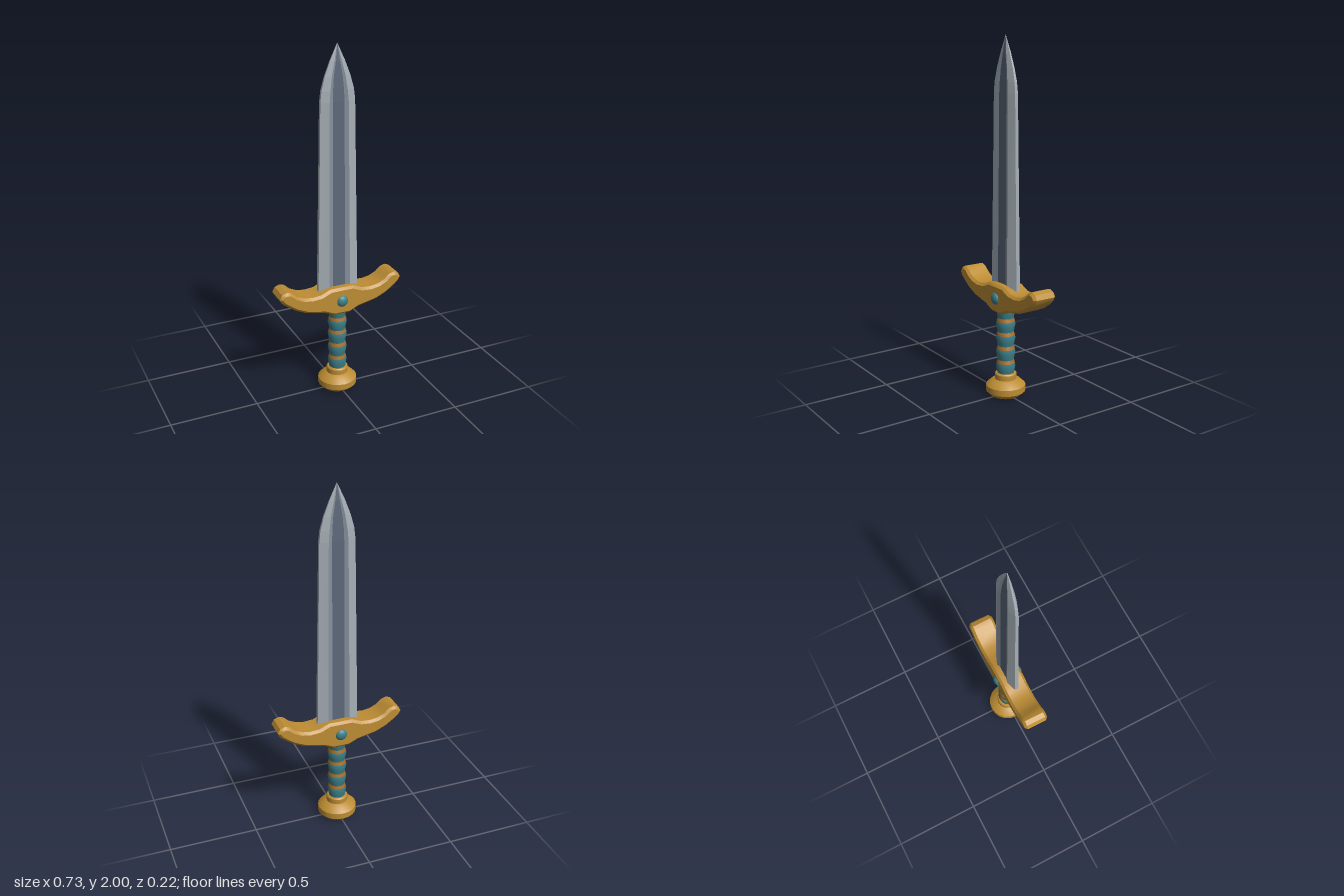
import * as THREE from 'three';
import { toCreasedNormals } from 'three/addons/utils/BufferGeometryUtils.js';

const paint = (name, color) => {
  const m = new THREE.MeshStandardMaterial({ color });
  m.name = name;
  return m;
};

export function createModel() {
  const gold = paint('gold', 0xbd8d34);
  const teal = paint('teal', 0x3b7f89);
  const bronze = paint('bronze', 0xa56f2a);
  const steel = paint('light steel', 0xa6afb6);
  const midSteel = paint('mid steel', 0x87919d);
  const darkSteel = paint('dark steel', 0x5c687a);

  const model = new THREE.Group();
  model.name = 'sword';
  const add = (name, geometry, material, parent = model) => {
    const mesh = new THREE.Mesh(geometry, material);
    mesh.name = name;
    parent.add(mesh);
    return mesh;
  };
  const lathe = (points, sides) => toCreasedNormals(
    new THREE.LatheGeometry(points.map(([r, y]) => new THREE.Vector2(r, y)), sides), 0.6);

  // Blade stations: height, half width, ridge x, groove x, ridge depth, groove depth, edge depth
  const stations = [
    [0.6, 0.12, 0.064, 0.037, 0.035, 0.027, 0.012],
    [1.7, 0.099, 0.054, 0.033, 0.026, 0.019, 0.009],
    [1.76, 0.092, 0.049, 0.031, 0.024, 0.017, 0.008],
    [1.83, 0.073, 0.039, 0.025, 0.019, 0.014, 0.006],
    [1.91, 0.042, 0.021, 0.012, 0.012, 0.01, 0.004],
    [2.0, 0.0005, 0.0003, 0.0001, 0.0005, 0.0004, 0.0002],
  ];
  const ring = ([y, w, m, f, t, g, e]) => {
    const half = [[w, e], [m, t], [f, g], [-f, g], [-m, t], [-w, e]];
    return [...half, ...half.map(([x, z]) => [-x, -z])].map(([x, z]) => [x, y, z]);
  };
  const rings = stations.map(ring);
  const bladeStrips = (faces) => {
    const pos = [];
    for (let s = 0; s < rings.length - 1; s++) {
      for (const i of faces) {
        const j = (i + 1) % 12;
        const a0 = rings[s][i], b0 = rings[s][j], a1 = rings[s + 1][i], b1 = rings[s + 1][j];
        for (const p of [b0, a0, a1, b0, a1, b1]) pos.push(...p);
      }
    }
    const g = new THREE.BufferGeometry();
    g.setAttribute('position', new THREE.Float32BufferAttribute(pos, 3));
    g.computeVertexNormals();
    return g;
  };
  const blade = new THREE.Group();
  blade.name = 'blade';
  model.add(blade);
  add('bladeEdges', bladeStrips([0, 4, 5, 6, 10, 11]), steel, blade);
  add('grooveWalls', bladeStrips([1, 3, 7, 9]), midSteel, blade);
  add('grooveFloor', bladeStrips([2, 8]), darkSteel, blade);

  // Crossguard: mirrored outline, inset by the bevel which then grows it outward
  const bevel = 0.014;
  const side = [
    [0.065, 0.641], [0.12, 0.617], [0.18, 0.612], [0.23, 0.62], [0.275, 0.641],
    [0.305, 0.668], [0.325, 0.674], [0.343, 0.667], [0.351, 0.652], [0.343, 0.636],
    [0.315, 0.613], [0.27, 0.582], [0.21, 0.555], [0.15, 0.542], [0.1, 0.532], [0.045, 0.507],
  ];
  const outline = [...side, ...side.map(([x, y]) => [-x, y]).reverse()];
  const guard = new THREE.ExtrudeGeometry(
    new THREE.Shape(outline.map(([x, y]) => new THREE.Vector2(x, y))),
    { depth: 0.116, bevelEnabled: true, bevelThickness: bevel, bevelSize: bevel, bevelSegments: 1 });
  guard.translate(0, 0, -0.058);
  add('crossguard', toCreasedNormals(guard, 0.6), gold);

  // Round gems on both faces of the guard
  for (const s of [1, -1]) {
    const gem = add(s > 0 ? 'frontGem' : 'backGem', new THREE.SphereGeometry(0.034, 16, 12), teal);
    gem.scale.z = 0.65;
    gem.position.set(0, 0.575, s * 0.068);
  }

  // Grip: flared wraps separated by sloping bands
  const grip = new THREE.Group();
  grip.name = 'grip';
  model.add(grip);
  const bands = [0.2, 0.283, 0.365, 0.445];
  const bottoms = [0.12, ...bands.map((y) => y + 0.01)];
  const tops = [...bands.map((y) => y - 0.01), 0.52];
  bottoms.forEach((lo, i) => {
    const h = tops[i] - lo;
    add('wrap', lathe([[0.046, lo], [0.05, lo + h * 0.35], [0.055, lo + h * 0.75], [0.052, tops[i]]], 16), teal, grip);
  });
  for (const y of bands) add('band', lathe([[0.052, y - 0.01], [0.046, y + 0.01]], 16), bronze, grip);

  // Pommel with its collar
  add('pommel', lathe([
    [0, 0], [0.085, 0], [0.112, 0.025], [0.112, 0.06], [0.085, 0.085],
    [0.062, 0.096], [0.062, 0.125], [0.056, 0.132], [0, 0.132],
  ], 20), gold);

  return model;
}
